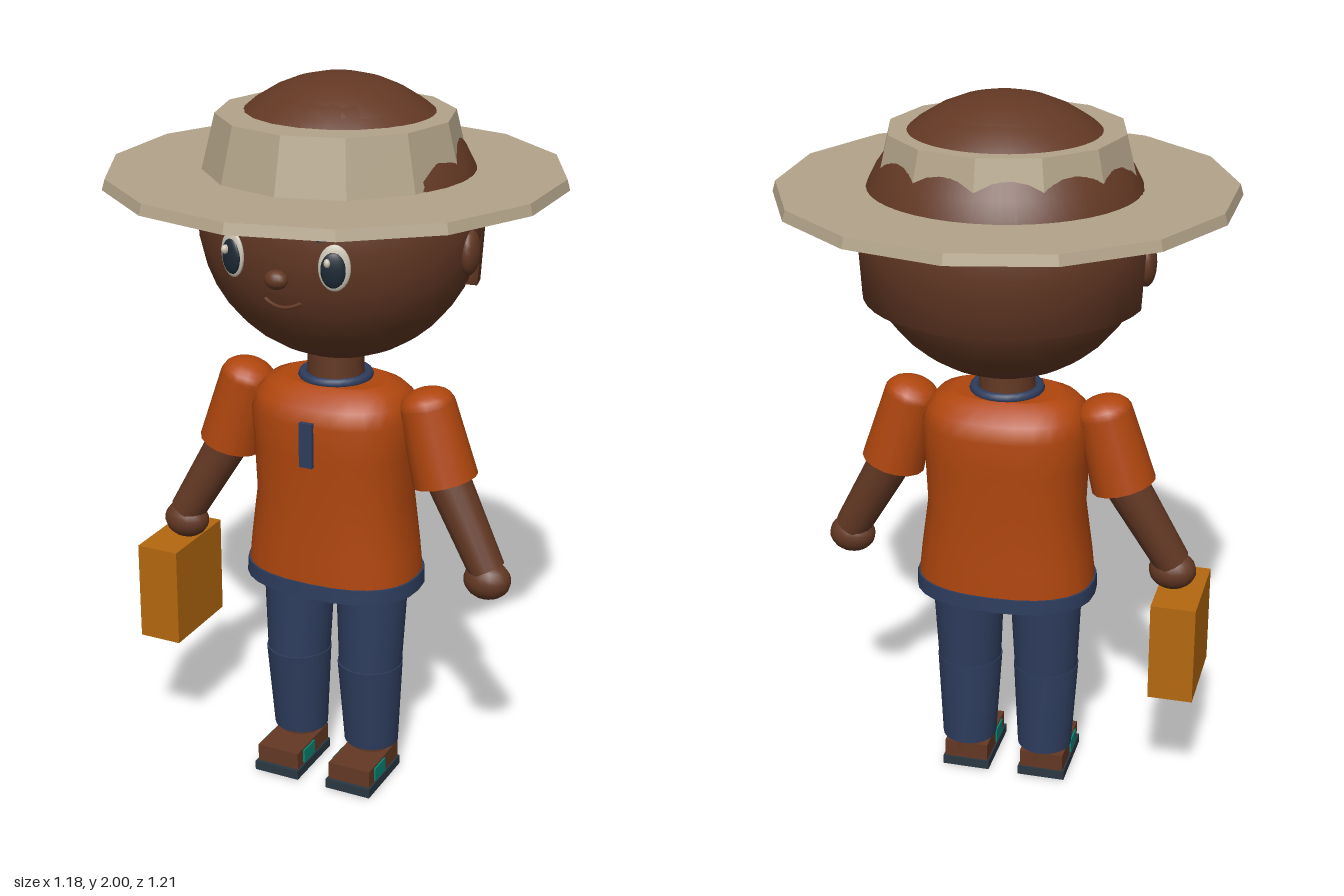
import * as THREE from 'three';

const mat = (name, color, double) => {
  const m = new THREE.MeshStandardMaterial({ color });
  m.name = name;
  if (double) m.side = THREE.DoubleSide;
  return m;
};

export function createModel() {
  const skin = mat('brown skin', 0x633824, true);
  const straw = mat('straw', 0xb3a48a);
  straw.flatShading = true;
  const orange = mat('orange cloth', 0xb0460e);
  const denim = mat('denim', 0x2e3d5e);
  const amber = mat('amber case', 0xb4680e);
  const teal = mat('teal', 0x0a8272);
  const slate = mat('slate sole', 0x2a3742);
  const white = mat('eye white', 0xcbc3b4);
  const ink = mat('dark ink', 0x1d2935);

  const root = new THREE.Group();
  root.name = 'figure';
  const add = (name, geo, material, x = 0, y = 0, z = 0) => {
    const m = new THREE.Mesh(geo, material);
    m.name = name;
    m.position.set(x, y, z);
    root.add(m);
    return m;
  };
  const box = (name, material, w, h, d, x, y, z) =>
    add(name, new THREE.BoxGeometry(w, h, d), material, x, y, z);
  const ball = (name, material, rx, ry, rz, x, y, z, seg = 20) => {
    const m = add(name, new THREE.SphereGeometry(1, seg, Math.round(seg * 0.7)), material, x, y, z);
    m.scale.set(rx, ry, rz);
    return m;
  };

  // Capped loft through rows [y, rx, rz, cx, cz], bottom to top; n squares the section
  const loft = (rows, n = 2, seg = 24) => {
    const pos = [], idx = [];
    const ring = ([y, rx, rz, cx = 0, cz = 0]) => {
      for (let i = 0; i < seg; i++) {
        const a = (i / seg) * Math.PI * 2, s = Math.sin(a), c = Math.cos(a);
        pos.push(cx + rx * Math.sign(s) * Math.abs(s) ** (2 / n), y,
          cz + rz * Math.sign(c) * Math.abs(c) ** (2 / n));
      }
    };
    rows.forEach(ring);
    for (let r = 0; r < rows.length - 1; r++) {
      for (let i = 0; i < seg; i++) {
        const a = r * seg + i, b = r * seg + (i + 1) % seg;
        idx.push(a, b, b + seg, a, b + seg, a + seg);
      }
    }
    const bottom = rows.length * seg, top = bottom + seg;
    ring(rows[0]);
    ring(rows[rows.length - 1]);
    for (let i = 1; i < seg - 1; i++) {
      idx.push(bottom, bottom + i + 1, bottom + i, top, top + i, top + i + 1);
    }
    const g = new THREE.BufferGeometry();
    g.setAttribute('position', new THREE.Float32BufferAttribute(pos, 3));
    g.setIndex(idx);
    g.computeVertexNormals();
    return g;
  };

  // Tapered round limb between two points
  const limb = (name, material, from, to, r0, r1) => {
    const a = new THREE.Vector3(...from), b = new THREE.Vector3(...to);
    const m = add(name, new THREE.CylinderGeometry(r1, r0, a.distanceTo(b), 16), material);
    m.position.copy(a).add(b).multiplyScalar(0.5);
    m.quaternion.setFromUnitVectors(new THREE.Vector3(0, 1, 0), b.sub(a).normalize());
    return m;
  };

  // Head and neck
  ball('head', skin, 0.378, 0.375, 0.35, 0, 1.625, -0.022, 28);
  add('neck', new THREE.CylinderGeometry(0.075, 0.078, 0.16, 16), skin, 0, 1.22, 0);

  // Hair shell: short all round, long behind the ears
  const hair = (name, yEnd, start, length) => {
    const pts = [];
    for (let i = 0; i <= 12; i++) {
      const t = (i / 12) * Math.PI / 2;
      const y = Math.max(yEnd, 1.625 + 0.37 * Math.cos(t));
      const k = Math.max(0, (y - 1.625) / 0.37);
      pts.push(new THREE.Vector2(0.367 * Math.sqrt(1 - Math.min(1, k * k)), y));
      if (y === yEnd) break;
    }
    if (yEnd < 1.6) pts.push(new THREE.Vector2(0.358, yEnd), new THREE.Vector2(0.3, yEnd));
    pts.reverse();
    const m = add(name, new THREE.LatheGeometry(pts, 20, start, length), skin, 0, 0, -0.022);
    m.scale.x = 1.045;
  };
  hair('hairCap', 1.735, 0, Math.PI * 2);
  hair('hairSides', 1.69, Math.PI / 2 - 0.5, Math.PI + 1);
  hair('hairBack', 1.47, Math.PI / 2 + 0.14, Math.PI - 0.28);

  // Hat
  add('hatBrim', new THREE.CylinderGeometry(0.597, 0.605, 0.028, 14), straw, 0, 1.746, 0);
  add('hatCrown', new THREE.CylinderGeometry(0.31, 0.347, 0.15, 12), straw, 0, 1.83, 0);

  // Face
  ball('nose', skin, 0.032, 0.025, 0.025, 0, 1.55, 0.34, 14);
  const mouth = new THREE.QuadraticBezierCurve3(
    new THREE.Vector3(-0.05, 1.485, 0.3), new THREE.Vector3(0, 1.455, 0.315),
    new THREE.Vector3(0.05, 1.485, 0.3));
  add('mouth', new THREE.TubeGeometry(mouth, 10, 0.005, 6), skin, 0, 0, 0.004);
  for (const s of [1, -1]) {
    const side = s > 0 ? 'left' : 'right';
    const eye = (name, m, r, h, x, y, z) => {
      ball(side + name, m, r, h, 0.012, s * 0.142 + x, y, z, 18).rotation.y = s * 0.35;
    };
    eye('EyeWhite', white, 0.041, 0.06, 0, 1.588, 0.302);
    eye('Iris', ink, 0.032, 0.046, 0, 1.584, 0.309);
    eye('EyeGlint', white, 0.009, 0.012, -0.012, 1.603, 0.318);
    const brow = box(side + 'Brow', ink, 0.085, 0.016, 0.02, s * 0.14, 1.665, 0.298);
    brow.rotation.set(0, s * 0.35, s * 0.08);
    ball(side + 'Ear', skin, 0.025, 0.06, 0.043, s * 0.372, 1.575, -0.012, 14);
  }

  // Shirt
  add('shirt', loft([
    [0.63, 0.246, 0.175], [0.72, 0.236, 0.174], [0.86, 0.217, 0.17], [1.0, 0.223, 0.176],
    [1.1, 0.23, 0.178], [1.145, 0.215, 0.165], [1.175, 0.19, 0.13], [1.19, 0.15, 0.1],
  ], 2.4, 28), orange);
  add('shirtHem', loft([[0.6, 0.252, 0.181], [0.642, 0.25, 0.18]], 2.4, 28), denim);
  add('seat', loft([[0.596, 0.22, 0.15], [0.61, 0.22, 0.15]], 2.4, 28), skin);
  const collar = add('collar', new THREE.TorusGeometry(0.088, 0.014, 8, 24), denim, 0, 1.195, 0);
  collar.rotation.x = Math.PI / 2;
  box('placket', denim, 0.038, 0.125, 0.014, 0, 1.05, 0.18);

  for (const s of [1, -1]) {
    const side = s > 0 ? 'left' : 'right';
    // Arms
    limb(side + 'Sleeve', orange, [s * 0.325, 0.943, 0], [s * 0.268, 1.145, 0], 0.089, 0.077);
    ball(side + 'Shoulder', orange, 0.077, 0.05, 0.077, s * 0.268, 1.145, 0, 16).rotation.z = s * 0.27;
    limb(side + 'Arm', skin, [s * 0.46, 0.715, 0.024], [s * 0.3, 1.0, -0.008], 0.05, 0.062);
    ball(side + 'Hand', skin, 0.066, 0.054, 0.054, s * 0.462, 0.688, 0.026, 16);

    // Legs
    const x = s * 0.112;
    add(side + 'Thigh', loft([[0.35, 0.089, 0.09, x, 0.008], [0.62, 0.102, 0.1, x, 0]]), denim);
    add(side + 'Shin', loft([[0.1, 0.077, 0.076, x, -0.002], [0.357, 0.092, 0.094, x, 0.01]]), denim);
    add(side + 'Ankle', new THREE.CylinderGeometry(0.052, 0.052, 0.07, 14), skin, x, 0.09, 0);

    // Shoes
    box(side + 'Sole', slate, 0.136, 0.027, 0.21, x, 0.0165, 0.055);
    box(side + 'SoleInset', skin, 0.11, 0.004, 0.18, x, 0.002, 0.055);
    box(side + 'Shoe', skin, 0.126, 0.05, 0.195, x, 0.055, 0.052);
    for (const t of [1, -1]) {
      box(side + 'ShoePatch', teal, 0.008, 0.04, 0.066, x + t * 0.064, 0.055, 0.082);
    }
  }

  // Carried case
  box('case', amber, 0.124, 0.284, 0.258, -0.488, 0.494, 0.026);

  return root;
}
